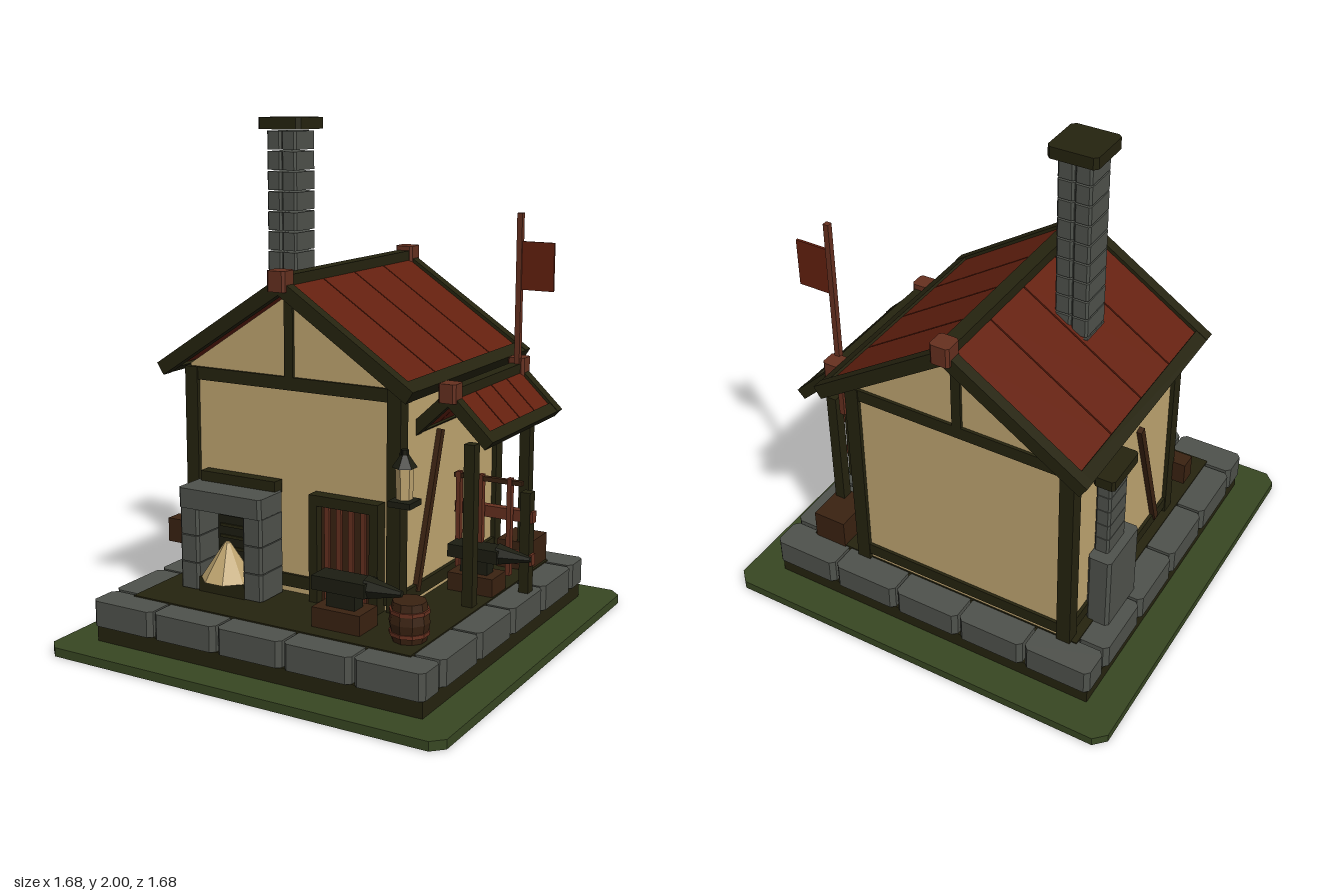
import * as THREE from 'three';

const mat = (name, color) => {
  const m = new THREE.MeshStandardMaterial({ color, flatShading: true });
  m.name = name;
  return m;
};

export function createModel() {
  const root = new THREE.Group();
  root.name = 'forgeHouse';
  const M = {
    grass: mat('grass', 0x384722), beam: mat('darkTimber', 0x25230f), stone: mat('stone', 0x4f524c),
    plaster: mat('plaster', 0xc0a671), red: mat('redTiles', 0x64200f), rust: mat('rustWood', 0x66301f),
    brown: mat('brownWood', 0x3a2211), iron: mat('iron', 0x1c1d12),
  };

  const add = (name, geo, m, x = 0, y = 0, z = 0, parent = root) => {
    const mesh = new THREE.Mesh(geo, m);
    mesh.name = name;
    mesh.position.set(x, y, z);
    parent.add(mesh);
    return mesh;
  };
  // box given by its limits on each axis
  const box = (name, m, x0, x1, y0, y1, z0, z1, parent = root) =>
    add(name, new THREE.BoxGeometry(x1 - x0, y1 - y0, z1 - z0), m, (x0 + x1) / 2, (y0 + y1) / 2, (z0 + z1) / 2, parent);
  // block with cut corners in plan
  const block = (name, m, x0, x1, y0, y1, z0, z1, c) => {
    const w = (x1 - x0) / 2, d = (z1 - z0) / 2;
    const pts = [[w - c, -d], [w, c - d], [w, d - c], [w - c, d], [c - w, d], [-w, d - c], [-w, c - d], [c - w, -d]];
    const geo = new THREE.ExtrudeGeometry(new THREE.Shape(pts.map(p => new THREE.Vector2(...p))),
      { depth: y1 - y0, bevelEnabled: false }).rotateX(-Math.PI / 2);
    return add(name, geo, m, (x0 + x1) / 2, y0, (z0 + z1) / 2);
  };
  // square bar between two points
  const bar = (name, m, a, b, t) => {
    const p = new THREE.Vector3(...a), q = new THREE.Vector3(...b);
    const mesh = add(name, new THREE.BoxGeometry(t, t, p.distanceTo(q)), m);
    mesh.position.copy(p).add(q).multiplyScalar(0.5);
    mesh.lookAt(q);
    return mesh;
  };

  // ground, footing and yard floor
  block('ground', M.grass, -0.84, 0.84, 0, 0.035, -0.84, 0.84, 0.045);
  box('footing', M.beam, -0.7, 0.7, 0.035, 0.1, -0.7, 0.7);
  box('yardFloor', M.beam, -0.6, 0.6, 0.193, 0.205, -0.6, 0.6);

  // ring of kerb stones
  for (const s of [-1, 1]) {
    const a = s > 0 ? 0.585 : -0.715, b = a + 0.13;
    for (let i = 0; i < 5; i++) {
      const c = (i - 2) * 0.286;
      block('kerbStone', M.stone, c - 0.138, c + 0.138, 0.1, 0.2, a, b, 0.018);
    }
    for (let i = 0; i < 4; i++) {
      const c = (i - 1.5) * 0.288;
      block('kerbStone', M.stone, a, b, 0.1, 0.2, c - 0.138, c + 0.138, 0.018);
    }
  }

  // plastered walls with gables
  const wall = new THREE.Shape([[-0.46, 0.2], [0.46, 0.2], [0.46, 1.06], [0, 1.365], [-0.46, 1.06]].map(p => new THREE.Vector2(...p)));
  add('walls', new THREE.ExtrudeGeometry(wall, { depth: 0.855, bevelEnabled: false }), M.plaster, -0.1, 0, -0.597);

  // timber frame
  for (const [x0, x1] of [[-0.577, -0.52], [0.323, 0.38]]) {
    for (const [z0, z1] of [[0.218, 0.275], [-0.613, -0.556]]) box('cornerPost', M.beam, x0, x1, 0.2, 1.05, z0, z1);
    for (const y of [0.228, 1.0]) box('sideBeam', M.beam, x0 + 0.004, x1 - 0.004, y, y + 0.05, -0.6, 0.26);
  }
  for (const [z0, z1] of [[0.225, 0.27], [-0.609, -0.56]]) {
    for (const y of [0.228, 1.0]) box('endBeam', M.beam, -0.57, 0.37, y, y + 0.05, z0, z1);
    box('gablePost', M.beam, -0.12, -0.082, 1.05, 1.37, z0, z1);
  }
  for (const x of [-0.567, 0.367]) bar('wallBrace', M.brown, [x, 0.25, 0.125], [x, 0.84, -0.065], 0.028);

  // pitched roof: tiles in strips, barge boards, eaves, ridge and end caps
  const roof = (name, x, y, angle, len, z0, z1, rim, strips, t, cap) => {
    const g = new THREE.Group();
    g.name = name;
    g.position.set(x, y, 0);
    root.add(g);
    for (const s of [-1, 1]) {
      const side = new THREE.Group();
      side.name = 'roofSlope';
      side.rotation.z = -s * angle;
      g.add(side);
      const span = (m, n, a, b, h, za, zb) => box(n, m, Math.min(s * a, s * b), Math.max(s * a, s * b), -h, h, za, zb, side);
      const step = (z1 - z0 - 2 * rim) / strips;
      for (let i = 0; i < strips; i++) {
        const za = z0 + rim + i * step;
        span(M.red, 'roofStrip', 0.01, len - 0.02, t * 0.28, za + 0.003, za + step - 0.003);
      }
      span(M.beam, 'bargeBoard', 0, len, t / 2, z0, z0 + rim);
      span(M.beam, 'bargeBoard', 0, len, t / 2, z1 - rim, z1);
      span(M.beam, 'eaveBoard', len - t, len, t / 2 - 0.002, z0 + 0.002, z1 - 0.002);
    }
    box('ridgeBeam', M.beam, -t / 2, t / 2, -t * 0.4, t * 0.75, z0, z1, g);
    for (const z of [z0 + 0.02, z1 - 0.02])
      block('ridgeCap', M.rust, x - cap, x + cap, y - cap + 0.02, y + cap + 0.02, z - cap, z + cap, 0.01);
  };
  roof('mainRoof', -0.1, 1.4, 0.58, 0.655, -0.685, 0.34, 0.045, 4, 0.054, 0.039);
  roof('porchRoof', 0.49, 1.005, 0.76, 0.23, -0.53, 0.12, 0.045, 4, 0.045, 0.036);

  // tall chimney of stacked stones
  for (let i = 0; i < 10; i++) {
    const y = 1.175 + i * 0.078;
    for (const x of [-0.377, -0.309]) block('chimneyStone', M.stone, x, x + 0.066, y, y + 0.071, -0.157, -0.012, 0.008);
  }
  block('chimneyCap', M.beam, -0.407, -0.213, 1.955, 2.0, -0.182, 0.01, 0.015);

  // small side flue
  block('flueBase', M.stone, -0.66, -0.565, 0.2, 0.52, -0.465, -0.225, 0.012);
  for (let i = 0; i < 5; i++) {
    const y = 0.52 + i * 0.068;
    block('flueStone', M.stone, -0.625, -0.565, y, y + 0.065, -0.415, -0.275, 0.008);
  }
  block('flueCap', M.beam, -0.65, -0.565, 0.858, 0.9, -0.445, -0.245, 0.01);

  // hearth on the front wall
  for (const x of [-0.5, -0.21]) for (let i = 0; i < 3; i++)
    block('hearthPillar', M.stone, x, x + 0.087, 0.21 + i * 0.108, 0.314 + i * 0.108, 0.28, 0.435, 0.01);
  block('hearthLintel', M.stone, -0.5, -0.123, 0.532, 0.61, 0.28, 0.442, 0.012);
  box('hearthMantel', M.beam, -0.482, -0.138, 0.6, 0.65, 0.265, 0.315);
  box('hearthBack', M.iron, -0.415, -0.205, 0.21, 0.535, 0.262, 0.3);
  box('hearthPlate', M.beam, -0.415, -0.205, 0.205, 0.262, 0.3, 0.43);
  for (let i = 0; i < 5; i++) box('grateBar', M.beam, -0.4, -0.22, 0.3 + i * 0.045, 0.312 + i * 0.045, 0.3, 0.306);
  add('fire', new THREE.CylinderGeometry(0.012, 0.105, 0.142, 8), M.plaster, -0.31, 0.334, 0.385).rotation.y = Math.PI / 8;
  box('woodBox', M.brown, -0.63, -0.5, 0.345, 0.44, 0.265, 0.335);

  // plank door
  box('doorPanel', M.brown, 0.03, 0.3, 0.205, 0.6, 0.26, 0.285);
  for (const x of [0.015, 0.275]) box('doorJamb', M.beam, x, x + 0.036, 0.205, 0.6, 0.265, 0.32);
  box('doorHead', M.beam, 0.015, 0.311, 0.585, 0.625, 0.265, 0.32);
  for (let i = 0; i < 4; i++) box('doorSlat', M.rust, 0.07 + i * 0.052, 0.09 + i * 0.052, 0.21, 0.585, 0.285, 0.297);

  // anvils on stumps
  const anvil = (x, z, k) => {
    const g = new THREE.Group();
    g.name = 'anvil';
    g.position.set(x, 0.205, z);
    g.scale.setScalar(k);
    root.add(g);
    box('stump', M.brown, -0.1, 0.1, 0, 0.075, -0.065, 0.065, g);
    box('anvilWaist', M.iron, -0.06, 0.06, 0.075, 0.14, -0.03, 0.03, g);
    box('anvilTop', M.iron, -0.11, 0.11, 0.135, 0.188, -0.05, 0.05, g);
    add('anvilHorn', new THREE.CylinderGeometry(0.012, 0.045, 0.14, 7), M.iron, 0.165, 0.163, 0, g).rotation.z = -Math.PI / 2;
  };
  anvil(0.26, 0.47, 1);
  anvil(0.5, -0.13, 0.95);

  // barrel with hoops
  const profile = [[0, 0.2], [0.062, 0.2], [0.075, 0.275], [0.062, 0.35], [0, 0.35]].map(p => new THREE.Vector2(...p));
  add('barrel', new THREE.LatheGeometry(profile, 10), M.brown, 0.523, 0, 0.465);
  for (const y of [0.235, 0.315])
    add('barrelHoop', new THREE.CylinderGeometry(0.074, 0.074, 0.014, 10), M.rust, 0.523, y, 0.465);

  // porch posts, fence, tool rack and crate
  for (const z of [0.05, -0.455]) box('porchPost', M.beam, 0.535, 0.578, 0.2, 0.83, z - 0.022, z + 0.022);
  box('fencePost', M.beam, 0.65, 0.69, 0.2, 0.6, -0.235, -0.19);
  for (const y of [0.31, 0.48]) box('fenceRail', M.rust, 0.37, 0.7, y, y + 0.045, -0.23, -0.195);
  for (const x of [0.4, 0.495, 0.615]) box('rackUpright', M.rust, x - 0.009, x + 0.009, 0.27, 0.655, -0.185, -0.16);
  box('rackRail', M.brown, 0.38, 0.665, 0.63, 0.648, -0.185, -0.165);
  box('crate', M.brown, 0.45, 0.59, 0.2, 0.32, -0.605, -0.425);

  // banner
  box('bannerPole', M.rust, 0.489, 0.511, 0.78, 1.635, -0.486, -0.464);
  box('banner', M.red, 0.511, 0.645, 1.335, 1.525, -0.48, -0.47);

  // hanging lantern
  bar('lanternArm', M.iron, [0.37, 0.8, 0.25], [0.435, 0.85, 0.345], 0.018);
  box('lanternBase', M.iron, 0.39, 0.48, 0.65, 0.672, 0.3, 0.39);
  add('lanternGlass', new THREE.CylinderGeometry(0.034, 0.03, 0.12, 6), M.plaster, 0.435, 0.735, 0.345);
  add('lanternHood', new THREE.CylinderGeometry(0.016, 0.046, 0.045, 6), M.iron, 0.435, 0.815, 0.345);
  add('lanternKnob', new THREE.CylinderGeometry(0.014, 0.014, 0.025, 6), M.iron, 0.435, 0.845, 0.345);
  return root;
}
